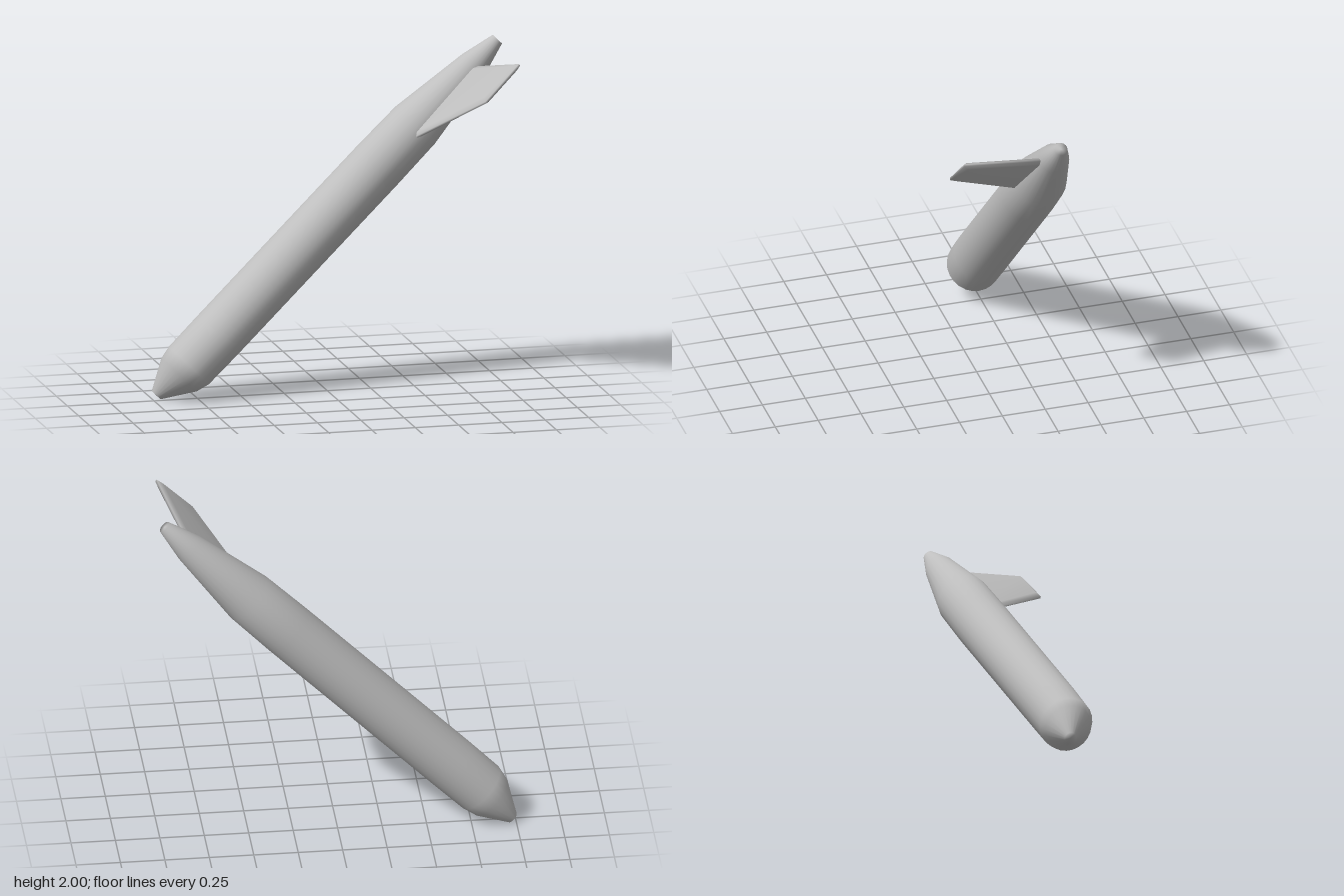
import * as THREE from 'three';
import { mergeVertices } from 'three/addons/utils/BufferGeometryUtils.js';

// Smooth loft along x through rings of [x, radius, centreY], closed at both ends
function loft(rings, sides) {
  const pos = [], idx = [];
  for (const [x, r, cy] of rings) {
    for (let j = 0; j < sides; j++) {
      const a = (j / sides) * Math.PI * 2;
      pos.push(x, cy + r * Math.cos(a), r * Math.sin(a));
    }
  }
  const last = rings.length - 1;
  const startCap = pos.length / 3, endCap = startCap + 1;
  pos.push(rings[0][0], rings[0][2], 0, rings[last][0], rings[last][2], 0);
  for (let j = 0; j < sides; j++) {
    const k = (j + 1) % sides;
    for (let i = 0; i < last; i++) {
      const a = i * sides + j, b = i * sides + k;
      idx.push(a, b, a + sides, b, b + sides, a + sides);
    }
    idx.push(startCap, k, j, endCap, last * sides + j, last * sides + k);
  }
  const geo = new THREE.BufferGeometry();
  geo.setAttribute('position', new THREE.Float32BufferAttribute(pos, 3));
  geo.setIndex(idx);
  geo.computeVertexNormals();
  return geo;
}

// Swept fin: bevelled plate with softened edges
function finGeometry() {
  const outline = [[0.567, -0.18], [1.169, -0.18], [1.35, 0.358], [1.068, 0.382]];
  const shape = new THREE.Shape(outline.map(([x, y]) => new THREE.Vector2(x, y)));
  const bevel = 0.03;
  const geo = new THREE.ExtrudeGeometry(shape, {
    depth: 0.012, bevelEnabled: true, bevelSegments: 1,
    bevelSize: bevel, bevelOffset: -bevel, bevelThickness: 0.014,
  });
  geo.translate(0, 0, -0.006);
  geo.deleteAttribute('normal');
  geo.deleteAttribute('uv');
  const smooth = mergeVertices(geo, 1e-4);
  smooth.computeVertexNormals();
  return smooth;
}

export function createModel() {
  const grey = new THREE.MeshStandardMaterial({ color: 0xbfbfbf });
  grey.name = 'plain grey';

  // Airframe is built along x with the fin towards +y, then tilted into its climb
  const airframe = new THREE.Group();
  airframe.name = 'airframe';

  const fuselage = new THREE.Mesh(loft([
    [-1.38, 0.034, -0.284],
    [-1.21, 0.136, -0.238],
    [-1.135, 0.154, -0.225],
    [-0.9, 0.157, -0.222],
    [0.4, 0.157, -0.222],
    [0.71, 0.152, -0.22],
    [1.18, 0.086, -0.203],
    [1.375, 0.036, -0.202],
  ], 24), grey);
  fuselage.name = 'fuselage';
  fuselage.position.z = -0.005;

  const fin = new THREE.Mesh(finGeometry(), grey);
  fin.name = 'tailFin';
  fin.position.z = -0.003;

  airframe.add(fuselage, fin);
  const d = Math.SQRT1_2;
  airframe.quaternion.setFromRotationMatrix(new THREE.Matrix4().makeBasis(
    new THREE.Vector3(d, d, 0), new THREE.Vector3(0, 0, 1), new THREE.Vector3(d, -d, 0)));
  airframe.position.y = 1;

  const model = new THREE.Group();
  model.name = 'fuselageWithFin';
  model.add(airframe);
  return model;
}
